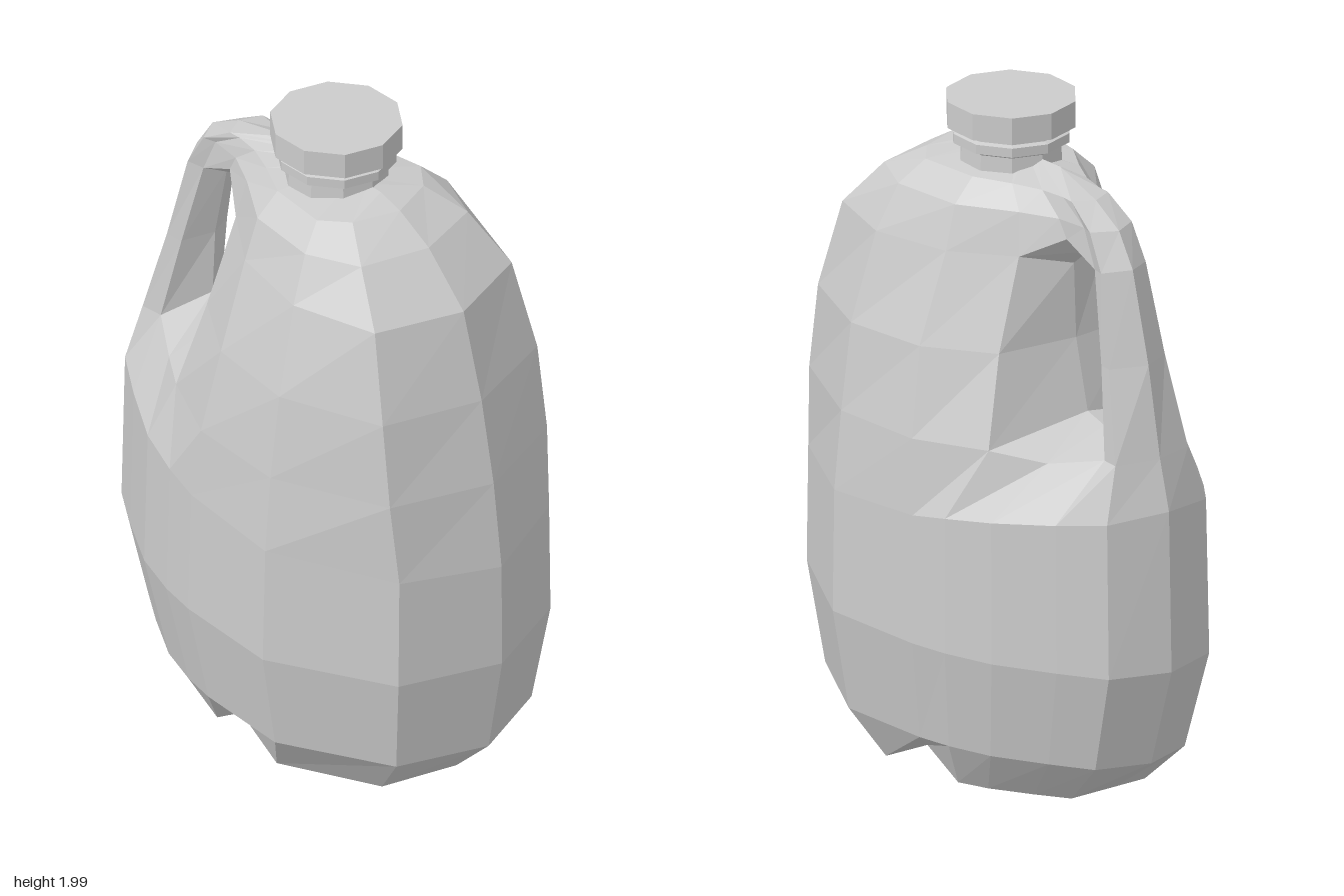
import * as THREE from 'three';

const lerp = THREE.MathUtils.lerp;

// Half ring at the widest height, from the handle edge (-x) round the front to the far edge (+x)
const baseX = [-0.73, -0.67, -0.54, -0.37, -0.22, -0.1, 0.24, 0.61, 0.725];
const baseZ = [0, 0.18, 0.27, 0.375, 0.43, 0.457, 0.485, 0.3, 0];

// Turns x and z lists into a row of points; yl and yr are the heights at the two ends
function ring(yl, yr, xs, zs) {
  return xs.map((x, j) => new THREE.Vector3(x, lerp(yl, yr, j / 8), zs[j]));
}
function scaledRing(yl, yr, sx, sz, shift = 0) {
  return ring(yl, yr, baseX.map((x) => x * sx + shift), baseZ.map((z) => z * sz));
}

function bodyRows() {
  // Foot, with a notch across the underside
  const foot = scaledRing(0.03, 0.02, 0.69, 0.73, 0.035);
  foot.forEach((p, j) => { if (j > 0 && j < 8) p.y = 0.008; });
  foot[4].x = -0.13;
  foot[5].set(-0.01, 0.09, foot[5].z);
  foot[6].x = 0.16;

  const rows = [
    foot,
    scaledRing(0.15, 0.15, 0.895, 0.89, 0.02),
    scaledRing(0.46, 0.46, 1, 1),
    scaledRing(0.95, 0.79, 0.99, 0.985, 0.005),
    // Sections through the grip, pinched in on the handle side
    ring(1.10, 1.06, [-0.675, -0.635, -0.57, -0.43, -0.29, -0.07, 0.24, 0.585, 0.69],
      [0, 0.13, 0.12, 0.22, 0.325, 0.435, 0.455, 0.31, 0]),
    ring(1.37, 1.32, [-0.62, -0.565, -0.515, -0.4, -0.24, -0.04, 0.24, 0.55, 0.64],
      [0, 0.1, 0.09, 0.12, 0.25, 0.385, 0.42, 0.305, 0]),
    ring(1.64, 1.59, [-0.545, -0.5, -0.45, -0.33, -0.215, -0.04, 0.22, 0.48, 0.565],
      [0, 0.08, 0.065, 0.075, 0.16, 0.29, 0.345, 0.27, 0]),
    // Shoulder
    ring(1.74, 1.74, [-0.48, -0.44, -0.4, -0.3, -0.19, -0.03, 0.2, 0.36, 0.42],
      [0, 0.075, 0.065, 0.08, 0.14, 0.25, 0.28, 0.21, 0]),
    ring(1.8, 1.81, [-0.37, -0.34, -0.3, -0.22, -0.13, -0.02, 0.17, 0.25, 0.3],
      [0, 0.065, 0.065, 0.08, 0.12, 0.18, 0.205, 0.14, 0]),
    // Ridge that closes the top
    ring(1.85, 1.835, baseX.map((x, j) => lerp(-0.2, 0.22, j / 8)), baseZ.map(() => 0)),
  ];
  rows[4][3].y = 1.06;
  rows[6][3].y = 1.685;
  return rows;
}

function bodyGeometry() {
  const rows = bodyRows();
  const positions = [];
  const back = (p) => new THREE.Vector3(p.x, p.y, -p.z);
  const quad = (a, b, c, d) => [a, b, c, a, c, d].forEach((p) => positions.push(p.x, p.y, p.z));
  const bothSides = (a, b, c, d) => {
    quad(a, b, c, d);
    quad(back(b), back(a), back(d), back(c));
  };

  // Walls, leaving the grip opening free
  for (let r = 0; r < rows.length - 1; r++) {
    for (let j = 0; j < 8; j++) {
      if ((r === 4 || r === 5) && (j === 2 || j === 3)) continue;
      bothSides(rows[r][j], rows[r][j + 1], rows[r + 1][j + 1], rows[r + 1][j]);
    }
  }

  // Underside, strip by strip
  for (let j = 0; j < 8; j++) {
    const a = rows[0][j], b = rows[0][j + 1];
    quad(a, back(a), back(b), b);
  }

  // Tunnel of the grip, narrowing to the middle
  const rim = [[4, 2], [5, 2], [6, 2], [6, 3], [6, 4], [5, 4], [4, 4], [4, 3]].map(([r, j]) => rows[r][j]);
  const inner = [[-0.48, 1.16], [-0.47, 1.37], [-0.42, 1.61], [-0.33, 1.63],
    [-0.265, 1.575], [-0.275, 1.35], [-0.33, 1.14], [-0.41, 1.12]]
    .map(([x, y]) => new THREE.Vector3(x, y, 0));
  rim.forEach((p, i) => {
    const n = (i + 1) % rim.length;
    bothSides(p, inner[i], inner[n], rim[n]);
  });

  const geometry = new THREE.BufferGeometry();
  geometry.setAttribute('position', new THREE.Float32BufferAttribute(positions, 3));
  geometry.computeVertexNormals();
  return geometry;
}

// Ten-sided turned part on the neck axis
function turned(profile) {
  const points = profile.map(([r, y]) => new THREE.Vector2(r, y));
  const geometry = new THREE.LatheGeometry(points, 10, Math.PI / 2);
  geometry.translate(0.035, 0, 0);
  return geometry;
}

export function createModel() {
  const group = new THREE.Group();
  group.name = 'jug';
  const material = new THREE.MeshStandardMaterial({ color: 0xcccccc, flatShading: true });
  const add = (name, geometry) => {
    const mesh = new THREE.Mesh(geometry, material);
    mesh.name = name;
    group.add(mesh);
  };

  add('body', bodyGeometry());
  add('neck', turned([[0.155, 1.78], [0.15, 1.86], [0.16, 1.87], [0.175, 1.872], [0.175, 1.9],
    [0.16, 1.905], [0.16, 1.925]]));
  add('cap', turned([[0, 1.92], [0.193, 1.92], [0.193, 2], [0, 2]]));
  return group;
}
